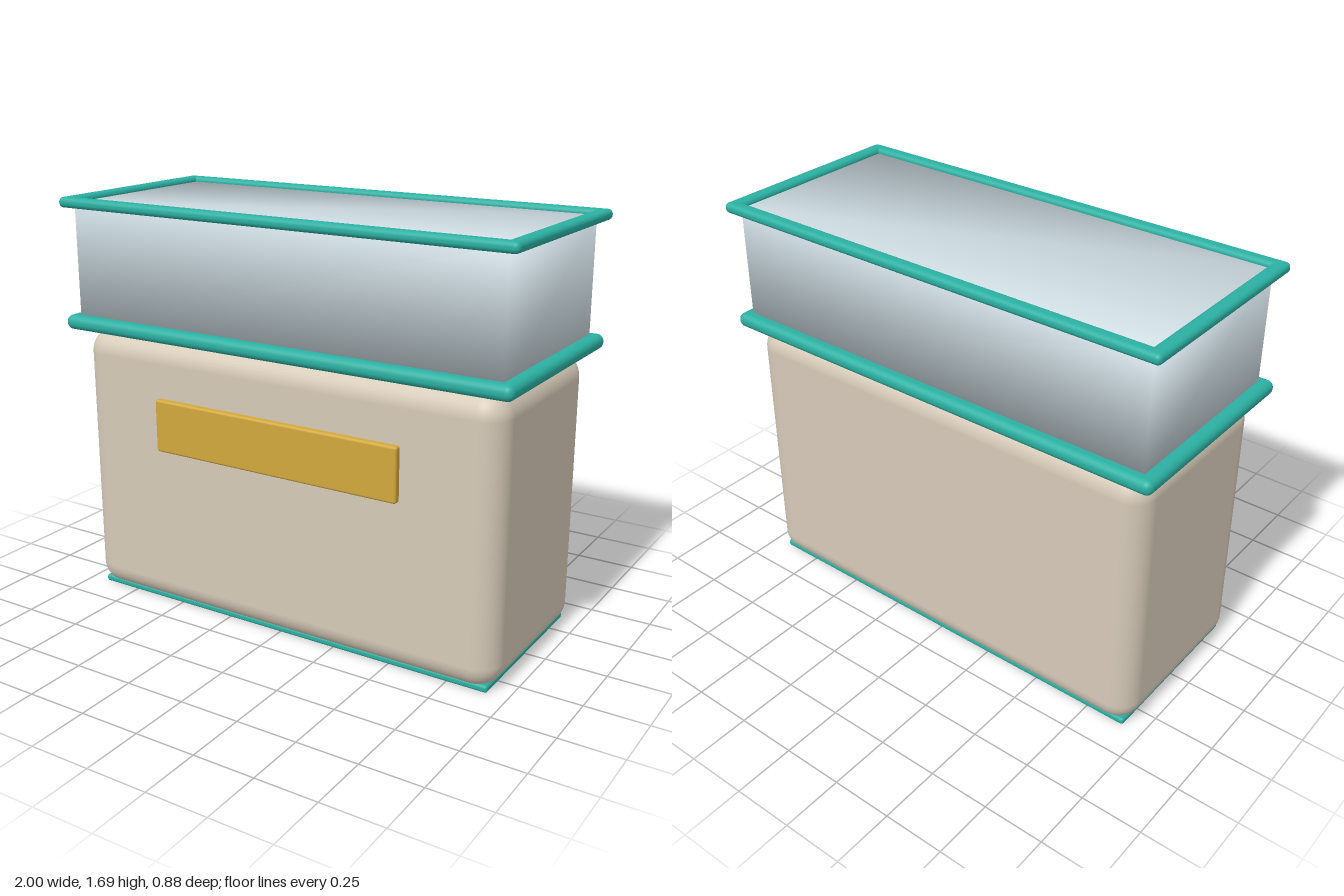
import * as THREE from 'three';
import { mergeVertices } from 'three/addons/utils/BufferGeometryUtils.js';
import { RoundedBoxGeometry } from 'three/addons/geometries/RoundedBoxGeometry.js';

const material = (name, color) => {
  const m = new THREE.MeshStandardMaterial({ color });
  m.name = name;
  return m;
};

export function createModel() {
  const model = new THREE.Group();
  model.name = 'container';
  const beige = material('beige', 0xd6cab8);
  const teal = material('teal', 0x2bb0a2);
  const gold = material('gold', 0xd2a83c);
  const silver = material('silver', 0xc8d6dc);

  const add = (name, geometry, mat, x, y, z, parent = model) => {
    const mesh = new THREE.Mesh(geometry, mat);
    mesh.name = name;
    mesh.position.set(x, y, z);
    parent.add(mesh);
    return mesh;
  };
  const rounded = (w, h, d, r, segments = 4) => new RoundedBoxGeometry(w, h, d, segments, r);

  // Softly rounded body with a foot panel and a front plate
  add('body', rounded(1.9, 1.15, 0.79, 0.1, 6), beige, 0, 0.575, 0);
  add('footPanel', rounded(1.84, 0.03, 0.73, 0.012), teal, 0, 0.016, 0);
  add('frontPlate', rounded(1.11, 0.22, 0.05, 0.01), gold, 0, 0.8, 0.396);

  // Collar block, shaded smoothly across its edges
  let block = new THREE.BoxGeometry(1.9, 0.49, 0.79);
  block.deleteAttribute('normal');
  block.deleteAttribute('uv');
  block = mergeVertices(block);
  block.computeVertexNormals();
  add('collar', block, silver, 0, 1.425, 0);

  // Lower rim is a full slab between body and collar
  add('lowerRim', rounded(2, 0.06, 0.882, 0.028), teal, 0, 1.178, 0);

  // Upper rim is a frame of four bars around the collar top
  const upperRim = new THREE.Group();
  upperRim.name = 'upperRim';
  model.add(upperRim);
  for (const s of [-1, 1]) {
    add(s > 0 ? 'rimFront' : 'rimBack', rounded(2, 0.042, 0.056, 0.019), teal, 0, 1.67, s * 0.413, upperRim);
    add(s > 0 ? 'rimLeft' : 'rimRight', rounded(0.06, 0.042, 0.882, 0.019), teal, s * 0.97, 1.67, 0, upperRim);
  }
  return model;
}
